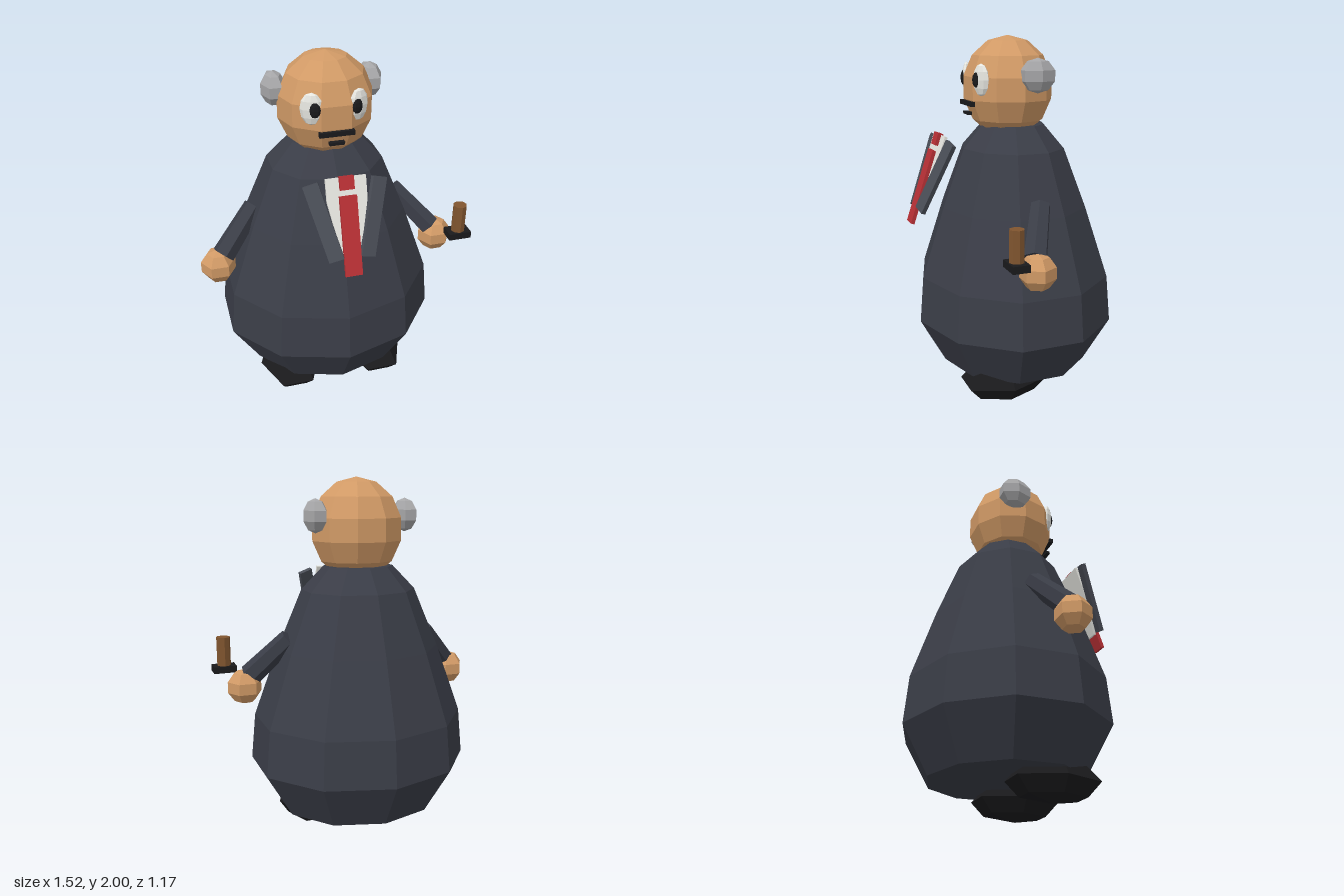
import * as THREE from 'three';

const mat = (color, side = THREE.FrontSide) =>
  new THREE.MeshStandardMaterial({ color, flatShading: true, side });

export function createModel() {
  const model = new THREE.Group();
  model.name = 'suitedMan';
  // the figure sits slightly off centre because one hand holds a prop
  model.position.x = -0.025;

  const suit = mat(0x3a3d47), lapelCloth = mat(0x4a4e57), skin = mat(0xd19a66);
  const grey = mat(0xa6a6a8), white = mat(0xe6e6e0), black = mat(0x1a1a1c);
  const red = mat(0xb83035), wood = mat(0x80552f);

  const add = (name, geo, material, pos, parent = model) => {
    const mesh = new THREE.Mesh(geo, material);
    mesh.name = name;
    mesh.position.set(...pos);
    parent.add(mesh);
    return mesh;
  };
  const blob = (name, material, pos, radii, w, h) => {
    const mesh = add(name, new THREE.SphereGeometry(1, w, h), material, pos);
    mesh.scale.set(...radii);
    return mesh;
  };

  // pear-shaped body, slightly flattened front to back
  const profile = [[0, 0.15], [0.467, 0.15], [0.625, 0.41], [0.6, 0.67], [0.457, 1.065],
    [0.32, 1.39], [0.195, 1.52], [0, 1.52]].map(p => new THREE.Vector2(...p));
  add('body', new THREE.LatheGeometry(profile, 10), suit, [0, 0, -0.02]).scale.z = 0.9;

  // head and face
  blob('head', skin, [0, 1.72, 0.008], [0.263, 0.28, 0.248], 10, 7);
  add('moustache', new THREE.BoxGeometry(0.185, 0.025, 0.025), black, [0, 1.641, 0.242]);
  add('mouth', new THREE.BoxGeometry(0.08, 0.016, 0.025), black, [0, 1.588, 0.242]);

  // tilted shirt front with tie and lapels
  const chest = new THREE.Group();
  chest.name = 'shirtFront';
  chest.position.set(0, 1.25, 0.478);
  chest.rotation.x = -0.325;
  model.add(chest);
  const shirtShape = new THREE.Shape([[-0.105, 0.24], [-0.105, 0.12], [-0.045, -0.18],
    [0.045, -0.18], [0.105, 0.12], [0.105, 0.24]].map(p => new THREE.Vector2(...p)));
  add('shirt', new THREE.ExtrudeGeometry(shirtShape, { depth: 0.016, bevelEnabled: false }),
    white, [0, 0, -0.012], chest);
  add('tie', new THREE.BoxGeometry(0.09, 0.415, 0.02), red, [0, -0.06, 0.018], chest);
  add('tieKnot', new THREE.BoxGeometry(0.075, 0.068, 0.03), red, [0, 0.212, 0.008], chest);

  for (const s of [-1, 1]) {
    const side = s > 0 ? 'left' : 'right';

    const lapel = add(side + 'Lapel', new THREE.BoxGeometry(0.08, 0.41, 0.025), lapelCloth,
      [s * 0.13, 0.02, -0.002], chest);
    lapel.rotation.set(0, s * 0.25, -s * 0.25);

    // eyes turned a little outward
    blob(side + 'Eye', white, [s * 0.121, 1.77, 0.205], [0.06, 0.086, 0.026], 8, 6).rotation.y = s * 0.38;
    blob(side + 'Pupil', black, [s * 0.11, 1.77, 0.226], [0.031, 0.042, 0.018], 8, 6).rotation.y = s * 0.38;

    blob(side + 'HairTuft', grey, [s * 0.26, 1.795, -0.06], [0.069, 0.092, 0.103], 6, 5);

    // arm runs from the flank outward, down and forward
    const from = new THREE.Vector3(s * 0.405, 1.135, -0.02);
    const to = new THREE.Vector3(s * 0.605, 0.915, 0.095);
    const dir = to.clone().sub(from);
    const arm = add(side + 'Arm', new THREE.CylinderGeometry(0.055, 0.065, dir.length(), 6), suit,
      from.clone().add(to).multiplyScalar(0.5).toArray());
    arm.quaternion.setFromUnitVectors(new THREE.Vector3(0, -1, 0), dir.normalize());

    blob(side + 'Hand', skin, [s * 0.637, 0.855, 0.095], [0.1, 0.1, 0.1], 6, 5);
    blob(side + 'Shoe', black, [s * 0.26, 0.11, 0.135], [0.18, 0.11, 0.26], 6, 4);
  }

  // small wooden gavel standing on its block
  add('gavelBlock', new THREE.BoxGeometry(0.13, 0.038, 0.09), black, [0.72, 0.932, 0.242]);
  add('gavelHandle', new THREE.CylinderGeometry(0.039, 0.039, 0.165, 8), wood, [0.72, 1.033, 0.242]);

  return model;
}
